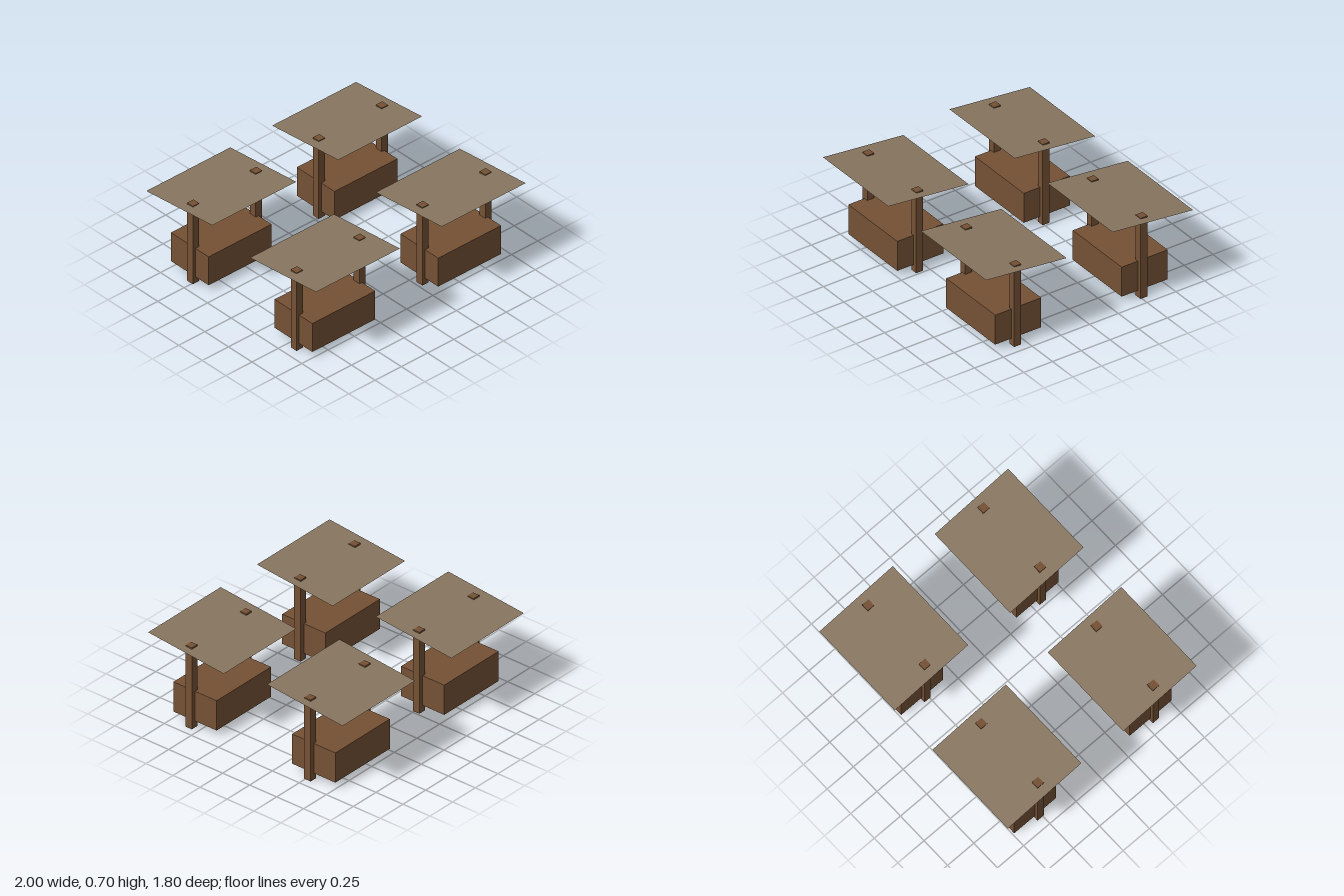
import * as THREE from 'three';

const wood = new THREE.MeshStandardMaterial({ name: 'brown wood', color: 0x755135, side: THREE.DoubleSide });
const cloth = new THREE.MeshStandardMaterial({ name: 'tan canopy', color: 0x887660, side: THREE.DoubleSide });

// Box with its bottom face left out
function openBottomBox(w, h, d) {
  const geometry = new THREE.BoxGeometry(w, h, d);
  const index = Array.from(geometry.index.array);
  index.splice(18, 6);
  geometry.setIndex(index);
  geometry.clearGroups();
  return geometry;
}

function addPart(parent, name, geometry, material, x, y, z) {
  const mesh = new THREE.Mesh(geometry, material);
  mesh.name = name;
  mesh.position.set(x, y, z);
  parent.add(mesh);
}

// One stall: hollow counter, two posts and a canopy rising towards the front
function createStall() {
  const stall = new THREE.Group();
  addPart(stall, 'counter', openBottomBox(0.6, 0.247, 0.4), wood, 0, 0.1765, 0);

  const post = new THREE.BoxGeometry(0.06, 0.677, 0.06);
  addPart(stall, 'leftPost', post, wood, 0.305, 0.3385, 0.03);
  addPart(stall, 'rightPost', post, wood, -0.295, 0.3385, 0.03);

  const rise = 0.07, depth = 0.7;
  const canopy = new THREE.PlaneGeometry(0.8, Math.hypot(rise, depth));
  canopy.rotateX(-Math.PI / 2 - Math.atan2(rise, depth));
  addPart(stall, 'canopy', canopy, cloth, 0, 0.665, 0);
  return stall;
}

export function createModel() {
  const model = new THREE.Group();
  model.name = 'marketStalls';
  for (const z of [0.55, -0.55]) {
    for (const x of [0.6, -0.6]) {
      const stall = createStall();
      stall.name = `${z > 0 ? 'front' : 'back'}${x > 0 ? 'Left' : 'Right'}Stall`;
      stall.position.set(x, 0, z);
      model.add(stall);
    }
  }
  return model;
}
